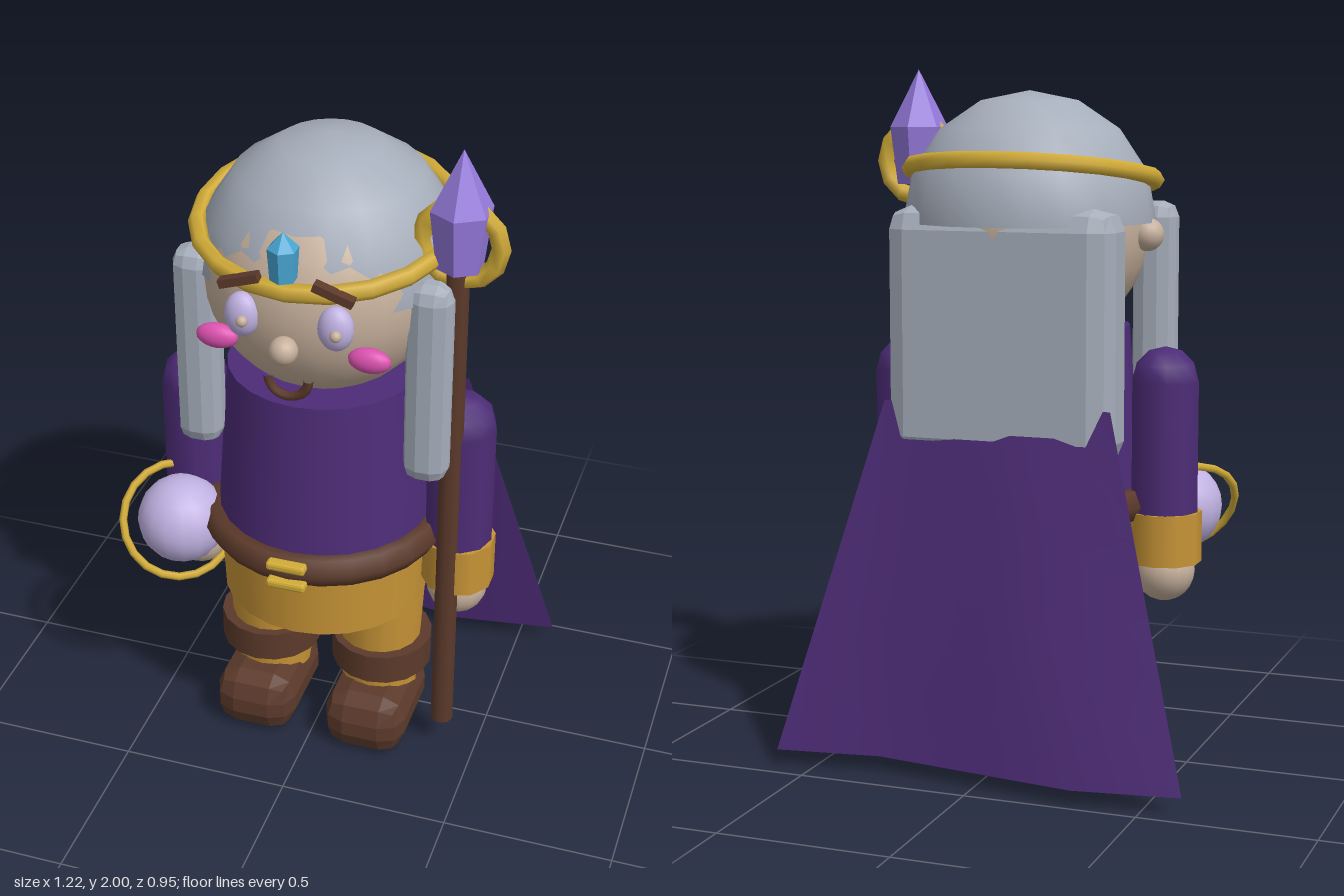
import * as THREE from 'three';
import { RoundedBoxGeometry } from 'three/addons/geometries/RoundedBoxGeometry.js';

const mat = (name, color, side = THREE.FrontSide) => {
  const m = new THREE.MeshStandardMaterial({ color, side });
  m.name = name;
  return m;
};

export function createModel() {
  const root = new THREE.Group();
  root.name = 'wizardFigure';

  const skin = mat('skin', 0xc6b09c);
  const hair = mat('greyHair', 0xa6aebb, THREE.DoubleSide);
  const robe = mat('purpleCloth', 0x4d2c77, THREE.DoubleSide);
  const brown = mat('brownLeather', 0x5c3a2b);
  const ochre = mat('ochreCloth', 0xc79436);
  const gold = mat('gold', 0xd2ac38);
  const lavender = mat('lavender', 0xc0b2e2);
  const violet = mat('violetCrystal', 0x967add);
  const blue = mat('blueGem', 0x48a6d4);
  const pink = mat('pinkCheek', 0xdc52b0);

  const add = (name, geo, material, x = 0, y = 0, z = 0) => {
    const m = new THREE.Mesh(geo, material);
    m.name = name;
    m.position.set(x, y, z);
    root.add(m);
    return m;
  };
  const flat = (geo) => {
    const g = geo.index ? geo.toNonIndexed() : geo;
    g.computeVertexNormals();
    return g;
  };
  const ball = (name, material, r, x, y, z, sx = 1, sy = 1, sz = 1) => {
    const m = add(name, new THREE.SphereGeometry(r, 16, 12), material, x, y, z);
    m.scale.set(sx, sy, sz);
    return m;
  };
  const tube = (name, material, rTop, rBottom, y0, y1, x, z, sides = 16) =>
    add(name, new THREE.CylinderGeometry(rTop, rBottom, y1 - y0, sides), material, x, (y0 + y1) / 2, z);
  const chamferBox = (name, material, w, h, d, r, x, y, z) =>
    add(name, flat(new RoundedBoxGeometry(w, h, d, 1, r)), material, x, y, z);
  // Six-sided prism with a pointed tip, base at y
  const crystal = (name, material, rBase, rTop, body, tip, x, y, z) => {
    const profile = [[0, 0], [rBase, 0], [rTop, body], [0, body + tip]].map((p) => new THREE.Vector2(...p));
    return add(name, flat(new THREE.LatheGeometry(profile, 6)), material, x, y, z);
  };

  const cz = 0.075; // body axis

  // Torso, skirt and belt
  tube('torso', robe, 0.28, 0.32, 0.72, 1.26, 0, cz, 24);
  tube('skirt', ochre, 0.315, 0.305, 0.5, 0.74, 0, cz, 24);
  const belt = add('belt', new THREE.TorusGeometry(0.32, 0.05, 6, 24), brown, 0, 0.75, cz);
  belt.rotation.x = Math.PI / 2;
  for (const y of [0.718, 0.778]) {
    chamferBox('buckleBar', gold, 0.115, 0.026, 0.036, 0.008, 0, y, 0.438);
  }

  for (const s of [-1, 1]) {
    // Legs and boots
    tube('leg', ochre, 0.135, 0.115, 0.15, 0.52, s * 0.172, cz);
    tube('bootCuff', brown, 0.152, 0.152, 0.235, 0.33, s * 0.178, cz);
    chamferBox('boot', brown, 0.25, 0.19, 0.36, 0.07, s * 0.175, 0.095, 0.12);

    // Arms
    add('sleeve', new THREE.CapsuleGeometry(0.1, 0.42, 3, 10), robe, s * 0.403, 0.9, 0.07);
    tube('sleeveCuff', ochre, 0.108, 0.108, 0.58, 0.73, s * 0.405, 0.07, 10);
    ball('hand', skin, 0.09, s * 0.405, 0.553, 0.07);

    // Face features
    ball('ear', skin, 0.048, s * 0.345, 1.53, 0.07);
    ball('eye', lavender, 0.05, s * 0.13, 1.55, 0.388, 1, 1.3, 0.8);
    ball('pupil', skin, 0.016, s * 0.13 + 0.012, 1.55, 0.428);
    ball('cheek', pink, 0.06, s * 0.215, 1.452, 0.36, 1, 0.6, 0.5);
    const brow = add('eyebrow', new THREE.BoxGeometry(0.115, 0.024, 0.03), brown, s * 0.13, 1.662, 0.405);
    brow.rotation.z = -s * 0.32;

    // Front locks of hair
    chamferBox('frontLock', hair, 0.13, 0.62, 0.12, 0.045, s * 0.335, 1.31, 0.19);
  }

  // Head
  add('head', new THREE.SphereGeometry(0.34, 24, 18), skin, 0, 1.55, 0.07);
  ball('nose', skin, 0.04, 0, 1.485, 0.435);
  const mouth = add('mouth', new THREE.TorusGeometry(0.058, 0.014, 6, 10, Math.PI), brown, 0, 1.382, 0.4);
  mouth.rotation.z = Math.PI;

  // Hair cap and the long fall at the back
  const cap = add('hairCap',
    new THREE.SphereGeometry(0.368, 20, 4, 0, Math.PI * 2, 0, Math.PI / 2), hair, 0, 1.565, 0.03);
  cap.scale.y = 1.015;
  chamferBox('backHair', hair, 0.68, 0.72, 0.21, 0.065, 0, 1.255, -0.163);

  // Circlet with its gem
  const circlet = add('circlet', new THREE.TorusGeometry(0.357, 0.026, 6, 20), gold, 0, 1.698, 0.055);
  circlet.rotation.x = Math.PI / 2 + 0.145;
  crystal('circletGem', blue, 0.037, 0.043, 0.09, 0.045, 0, 1.697, 0.425);

  // Cape: flares downward with a soft wave at the hem
  const capeGeo = new THREE.PlaneGeometry(2, 1, 4, 3);
  const p = capeGeo.attributes.position;
  for (let i = 0; i < p.count; i++) {
    const u = p.getX(i);
    const t = 0.5 - p.getY(i);
    const wave = 0.045 * Math.sin(u * Math.PI) * t;
    p.setXYZ(i, u * (0.34 + 0.27 * t), 1.06 - 1.015 * t, -0.25 - 0.185 * t + wave * -1 * -1);
  }
  capeGeo.computeVertexNormals();
  add('cape', capeGeo, robe);

  // Staff
  tube('staffPole', brown, 0.034, 0.034, 0.1, 1.68, 0.395, 0.157, 8);
  crystal('staffCrystal', violet, 0.066, 0.087, 0.17, 0.17, 0.4, 1.66, 0.155);
  add('staffRing', new THREE.TorusGeometry(0.11, 0.027, 6, 12), gold, 0.4, 1.728, 0.155);

  // Orb circled by a tilted ring
  ball('orb', lavender, 0.132, -0.4, 0.715, 0.225);
  const ring = add('orbRing', new THREE.TorusGeometry(0.17, 0.012, 6, 20), gold, -0.41, 0.706, 0.225);
  ring.quaternion.setFromUnitVectors(
    new THREE.Vector3(0, 0, 1), new THREE.Vector3(0.53, 0.55, 0.65).normalize());

  return root;
}
